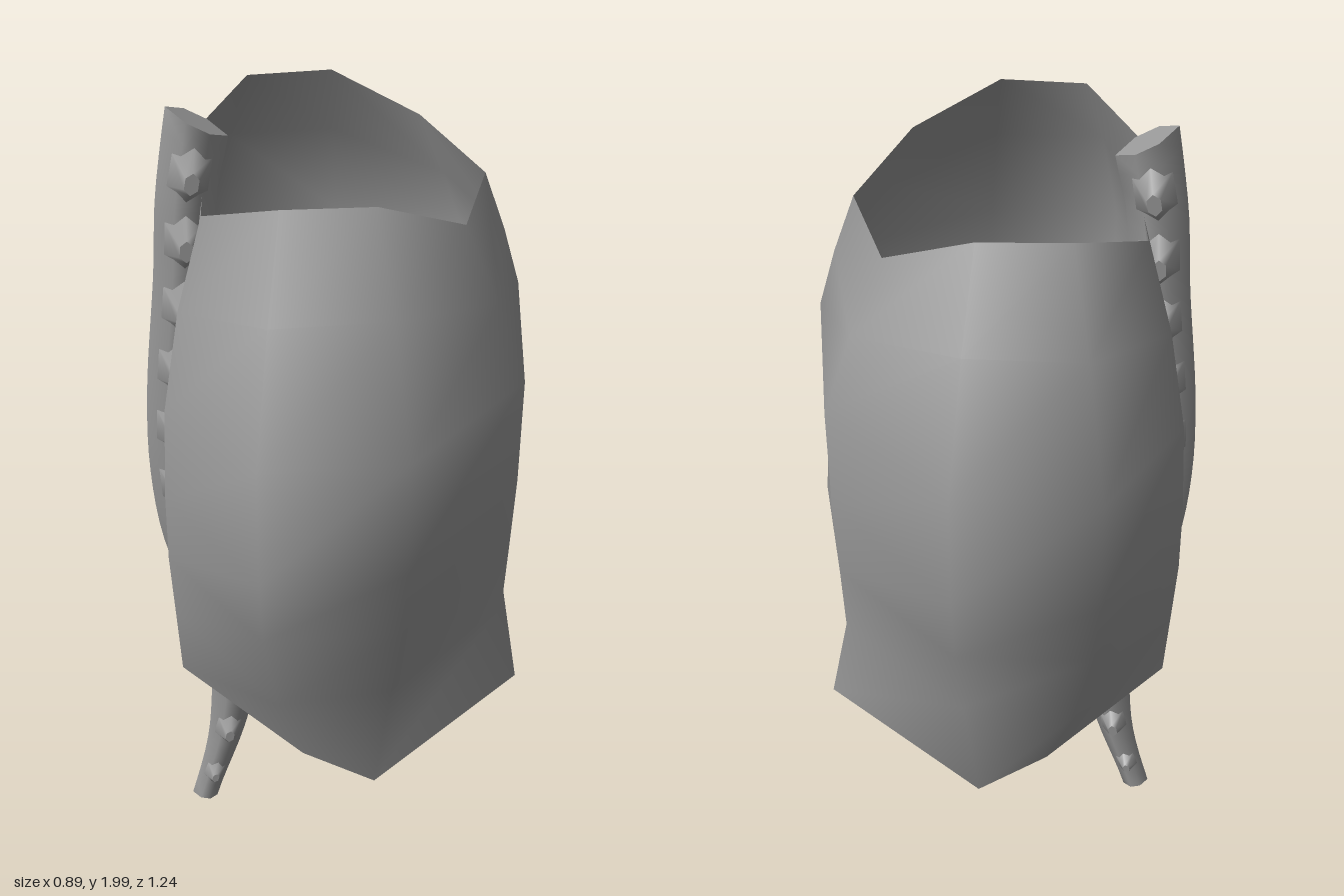
import * as THREE from 'three';

const grey = new THREE.MeshStandardMaterial({ color: 0x999999, side: THREE.DoubleSide });

// Joins rows of points with equal counts into one smooth surface
function loft(rows, closed) {
  const n = rows[0].length, index = [];
  for (let r = 0; r < rows.length - 1; r++) {
    for (let c = 0; c < (closed ? n : n - 1); c++) {
      const a = r * n + c, b = r * n + (c + 1) % n;
      index.push(a, a + n, b, b, a + n, b + n);
    }
  }
  const g = new THREE.BufferGeometry();
  g.setAttribute('position', new THREE.Float32BufferAttribute(rows.flat(2), 3));
  g.setIndex(index);
  g.computeVertexNormals();
  return g;
}

// Half rows of the rib shell from the spine round to the breastbone, top to bottom
const ribRows = [
  [[-0.30, 1.83, 0.09], [-0.31, 1.84, 0.21], [-0.16, 1.92, 0.37], [0.04, 1.92, 0.38], [0.24, 1.83, 0.30], [0.34, 1.81, 0]],
  [[-0.33, 1.62, 0.09], [-0.37, 1.62, 0.22], [-0.20, 1.72, 0.50], [0.06, 1.72, 0.50], [0.31, 1.66, 0.34], [0.39, 1.67, 0]],
  [[-0.35, 1.38, 0.09], [-0.41, 1.38, 0.23], [-0.24, 1.45, 0.62], [0.08, 1.45, 0.62], [0.37, 1.48, 0.37], [0.43, 1.53, 0]],
  [[-0.36, 1.15, 0.09], [-0.42, 1.15, 0.235], [-0.24, 1.17, 0.62], [0.08, 1.17, 0.62], [0.37, 1.22, 0.36], [0.425, 1.25, 0]],
  [[-0.35, 0.95, 0.09], [-0.42, 0.98, 0.23], [-0.23, 0.97, 0.56], [0.08, 0.97, 0.57], [0.37, 1.0, 0.32], [0.445, 1.0, 0]],
  [[-0.32, 0.78, 0.09], [-0.41, 0.80, 0.21], [-0.19, 0.70, 0.46], [0.07, 0.75, 0.50], [0.37, 0.80, 0.28], [0.42, 0.76, 0]],
  [[-0.30, 0.59, 0.09], [-0.40, 0.61, 0.18], [-0.12, 0.43, 0.33], [0.04, 0.43, 0.45], [0.41, 0.60, 0.30], [0.37, 0.53, 0]],
];

// Spine centre line in the x-y plane
const spineCurve = new THREE.CatmullRomCurve3([
  [-0.30, 1.965], [-0.33, 1.8], [-0.345, 1.6], [-0.375, 1.3], [-0.38, 1.1],
  [-0.36, 0.9], [-0.305, 0.7], [-0.262, 0.5], [-0.285, 0.27], [-0.355, 0.02],
].map(([x, y]) => new THREE.Vector3(x, y, 0)));

const taper = (t) => 1 - 0.5 * THREE.MathUtils.smoothstep(t, 0.7, 1);

// Six-sided section, pointed to the front and back
const hexagon = [[1, 0], [0.38, 1], [-0.38, 1], [-1, 0], [-0.38, -1], [0.38, -1]];

// Section across the spine, tilted at the top end
function spineRing(t) {
  const p = spineCurve.getPointAt(t), d = spineCurve.getTangentAt(t), s = taper(t);
  const tilt = 0.025 * (1 - THREE.MathUtils.smoothstep(t, 0, 0.08));
  return hexagon.map(([u, w]) => {
    const a = u * 0.068 * s;
    return [p.x - d.y * a, p.y + d.x * a - u * tilt, w * 0.042 * s];
  });
}

export function createModel() {
  const model = new THREE.Group();
  const add = (name, geometry, parent = model) => {
    const mesh = new THREE.Mesh(geometry, grey);
    mesh.name = name;
    parent.add(mesh);
    return mesh;
  };

  // Rib shell, open above, below and behind the spine
  const shell = ribRows.map((row) => [
    ...row, ...row.slice(0, -1).reverse().map(([x, y, z]) => [x, y, -z]),
  ]);
  add('ribShell', loft(shell, false));

  // Spine column with its two end caps
  const rings = Array.from({ length: 41 }, (_, i) => spineRing(i / 40));
  add('spineColumn', loft(rings, true));
  [rings[0], rings[40]].forEach((ring, i) => {
    const mid = [0, 1, 2].map((k) => ring.reduce((sum, p) => sum + p[k], 0) / 6);
    add(i ? 'spineBottomCap' : 'spineTopCap', loft([ring, ring.map(() => mid)], true));
  });

  // Pairs of blunt side processes down the spine
  const processes = new THREE.Group();
  processes.name = 'spineProcesses';
  model.add(processes);
  const knob = new THREE.CylinderGeometry(0.022, 0.066, 0.07, 6, 1);
  knob.rotateX(Math.PI / 2);
  const count = 12;
  for (let i = 0; i < count; i++) {
    const t = 0.055 + 0.895 * i / (count - 1);
    const p = spineCurve.getPointAt(t), d = spineCurve.getTangentAt(t), s = taper(t);
    for (const side of [1, -1]) {
      const m = add(side > 0 ? 'leftProcess' : 'rightProcess', knob, processes);
      m.position.set(p.x, p.y, side * 0.057 * s);
      m.rotation.set(0, side > 0 ? 0 : Math.PI, side * Math.atan2(d.x, -d.y));
      m.scale.set(0.8 * s, 1.2 * s, s);
    }
  }
  return model;
}
